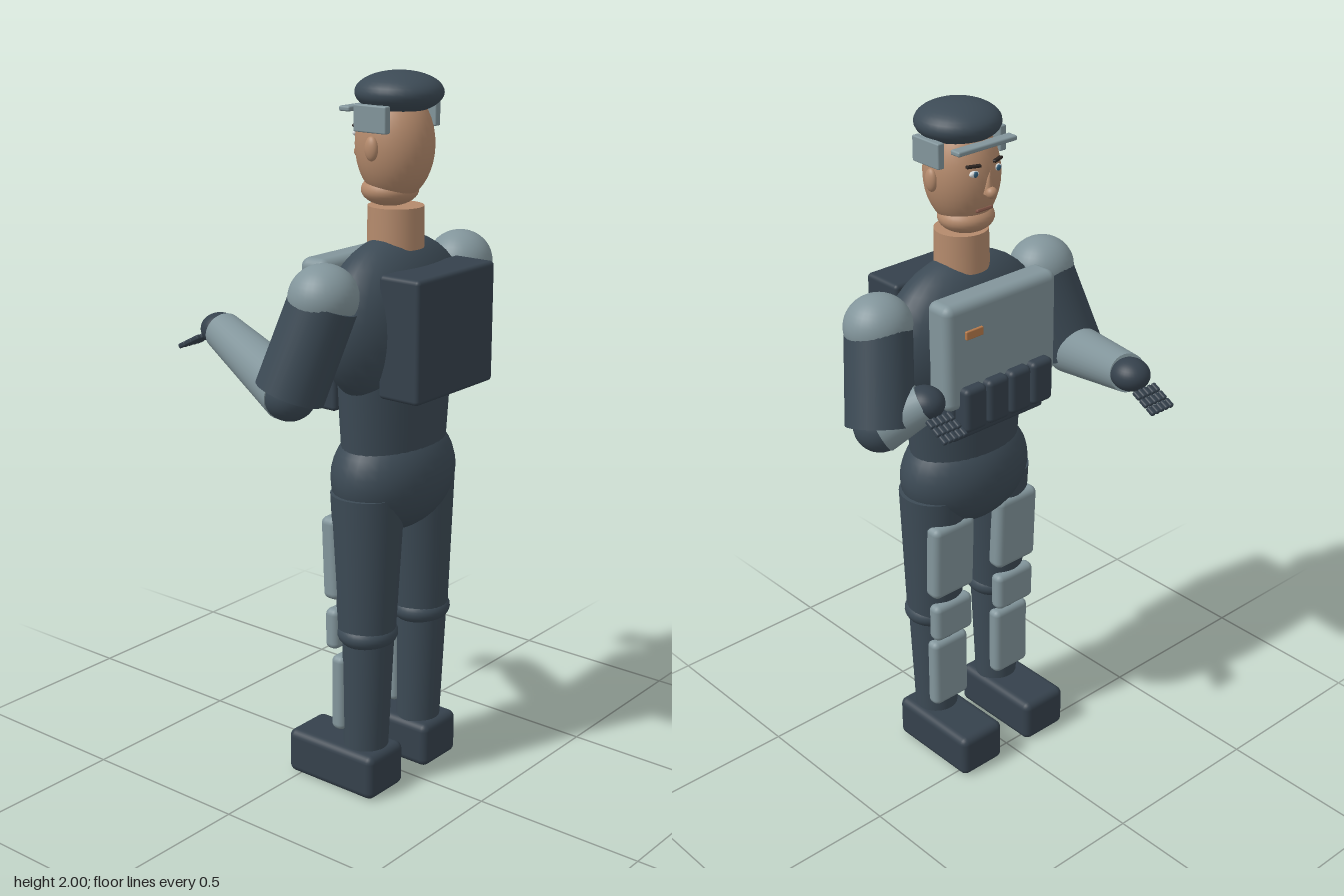
import * as THREE from 'three';
import { RoundedBoxGeometry } from 'three/addons/geometries/RoundedBoxGeometry.js';

const mat = (name, color) => {
  const m = new THREE.MeshStandardMaterial({ color });
  m.name = name;
  return m;
};

export function createModel() {
  const suit = mat('dark suit', 0x3c4a55);
  const gear = mat('dark gear', 0x35414c);
  const armour = mat('light armour', 0x82959b);
  const skin = mat('skin', 0xb48a6c);
  const badgeMat = mat('copper badge', 0xb5794a);
  const white = mat('eye white', 0xd8dcdc);
  const iris = mat('iris blue', 0x34607c);
  const hair = mat('dark brow', 0x2a2320);
  const lip = mat('lip', 0x86584a);

  const model = new THREE.Group();
  model.name = 'figure';
  const V = (x, y, z) => new THREE.Vector3(x, y, z);

  const add = (name, geo, material, x = 0, y = 0, z = 0) => {
    const m = new THREE.Mesh(geo, material);
    m.name = name;
    m.position.set(x, y, z);
    model.add(m);
    return m;
  };
  const ball = (name, material, x, y, z, rx, ry = rx, rz = rx) => {
    const m = add(name, new THREE.SphereGeometry(1, 32, 20), material, x, y, z);
    m.scale.set(rx, ry, rz);
    return m;
  };
  const box = (name, material, w, h, d, x, y, z, r = 0.015) =>
    add(name, new RoundedBoxGeometry(w, h, d, 3, r), material, x, y, z);
  // Tapered cylinder between two points
  const limb = (name, material, a, b, ra, rb) => {
    const dir = b.clone().sub(a);
    const mid = a.clone().add(b).multiplyScalar(0.5);
    const m = add(name, new THREE.CylinderGeometry(rb, ra, dir.length(), 32), material, mid.x, mid.y, mid.z);
    m.quaternion.setFromUnitVectors(V(0, 1, 0), dir.normalize());
    return m;
  };

  // Torso
  ball('chest', suit, 0, 1.34, 0.18, 0.272, 0.236, 0.137);
  const waist = add('waist', new THREE.CylinderGeometry(0.192, 0.175, 0.24, 40), suit, 0, 1.1, 0.18);
  waist.scale.z = 0.68;
  ball('pelvis', suit, 0, 0.915, 0.18, 0.21, 0.165, 0.146);
  box('backpack', gear, 0.34, 0.33, 0.13, 0, 1.335, 0.32, 0.012);
  box('chestPlate', armour, 0.4, 0.31, 0.09, 0, 1.365, 0.055, 0.025);
  box('chestBadge', badgeMat, 0.06, 0.025, 0.009, 0.11, 1.43, 0.006, 0.003);
  box('pouchBelt', gear, 0.34, 0.13, 0.08, 0, 1.17, 0.07, 0.012);
  for (let i = 0; i < 4; i++) {
    box('pouch', gear, 0.076, 0.13, 0.07, -0.122 + i * 0.0813, 1.215, 0.015, 0.015);
  }

  // Neck and head
  add('neck', new THREE.CylinderGeometry(0.075, 0.077, 0.11, 32), skin, 0, 1.595, 0.18);
  ball('head', skin, 0, 1.81, 0.175, 0.103, 0.15, 0.107);
  ball('jaw', skin, 0, 1.69, 0.16, 0.079, 0.043, 0.076);
  const bridge = add('noseBridge', new THREE.ConeGeometry(0.016, 0.065, 16), skin, 0, 1.808, 0.067);
  bridge.rotation.x = -0.15;
  ball('noseTip', skin, 0, 1.78, 0.058, 0.016);
  const mouth = box('mouth', lip, 0.055, 0.009, 0.012, 0, 1.727, 0.087, 0.003);
  mouth.rotation.x = 0.4;
  for (const s of [-1, 1]) {
    ball('ear', skin, s * 0.103, 1.808, 0.178, 0.014, 0.032, 0.02);
    ball('eye', white, s * 0.04, 1.835, 0.08, 0.016, 0.009, 0.008);
    ball('iris', iris, s * 0.04, 1.835, 0.074, 0.008, 0.008, 0.004);
    const brow = box('brow', hair, 0.042, 0.008, 0.012, s * 0.042, 1.856, 0.08, 0.003);
    brow.rotation.y = -s * 0.35;
    box('earGuard', armour, 0.022, 0.07, 0.105, s * 0.108, 1.885, 0.182, 0.004);
  }

  // Cap with a narrow front rail
  ball('cap', suit, 0, 1.945, 0.188, 0.117, 0.055, 0.117);
  box('capRail', armour, 0.204, 0.014, 0.035, 0, 1.903, 0.085, 0.005);

  // Legs
  for (const s of [-1, 1]) {
    const x = s * 0.122;
    limb('thigh', suit, V(s * 0.115, 0.88, 0.18), V(x, 0.47, 0.185), 0.102, 0.08);
    ball('knee', suit, x, 0.475, 0.188, 0.088, 0.048, 0.083);
    limb('shin', suit, V(x, 0.48, 0.19), V(x, 0.12, 0.183), 0.073, 0.063);
    box('boot', gear, 0.155, 0.132, 0.305, s * 0.127, 0.068, 0.113, 0.022);
    const plate = box('thighPlate', armour, 0.15, 0.24, 0.055, x, 0.69, 0.107, 0.02);
    plate.rotation.x = -0.04;
    box('kneePlate', armour, 0.14, 0.12, 0.045, x, 0.48, 0.109, 0.018);
    box('shinPlate', armour, 0.13, 0.225, 0.045, x, 0.288, 0.127, 0.018);
  }

  // Arms: one reaching forward, the other folded close to the chest
  const hands = [[-1, V(-0.225, 1.29, -0.25)], [1, V(0.257, 1.262, 0.04)]];
  for (const [s, hand] of hands) {
    const shoulder = V(s * 0.297, 1.44, 0.178);
    const elbow = V(s * 0.355, 1.2, 0.112);
    limb('upperArm', suit, shoulder, elbow, 0.092, 0.094);
    ball('shoulderPad', armour, s * 0.297, 1.452, 0.178, 0.096, 0.088, 0.09);
    ball('elbow', suit, elbow.x, elbow.y, elbow.z, 0.073);
    const wrist = hand.clone().lerp(elbow, 0.04);
    limb('forearm', armour, elbow, wrist, 0.076, 0.054);
    ball('hand', gear, hand.x, hand.y, hand.z, 0.053, 0.045, 0.057);
    // Five jointed fingers sloping down and forward
    for (let i = 0; i < 5; i++) {
      for (let j = 0; j < 3; j++) {
        const t = 0.012 + j * 0.027;
        const f = box('finger', gear, 0.014, 0.014, 0.028,
          hand.x + (i - 2) * 0.0175, hand.y - 0.024 - t * 0.5, hand.z - 0.05 - t * 0.95, 0.005);
        f.rotation.x = -0.48;
      }
    }
  }

  return model;
}
